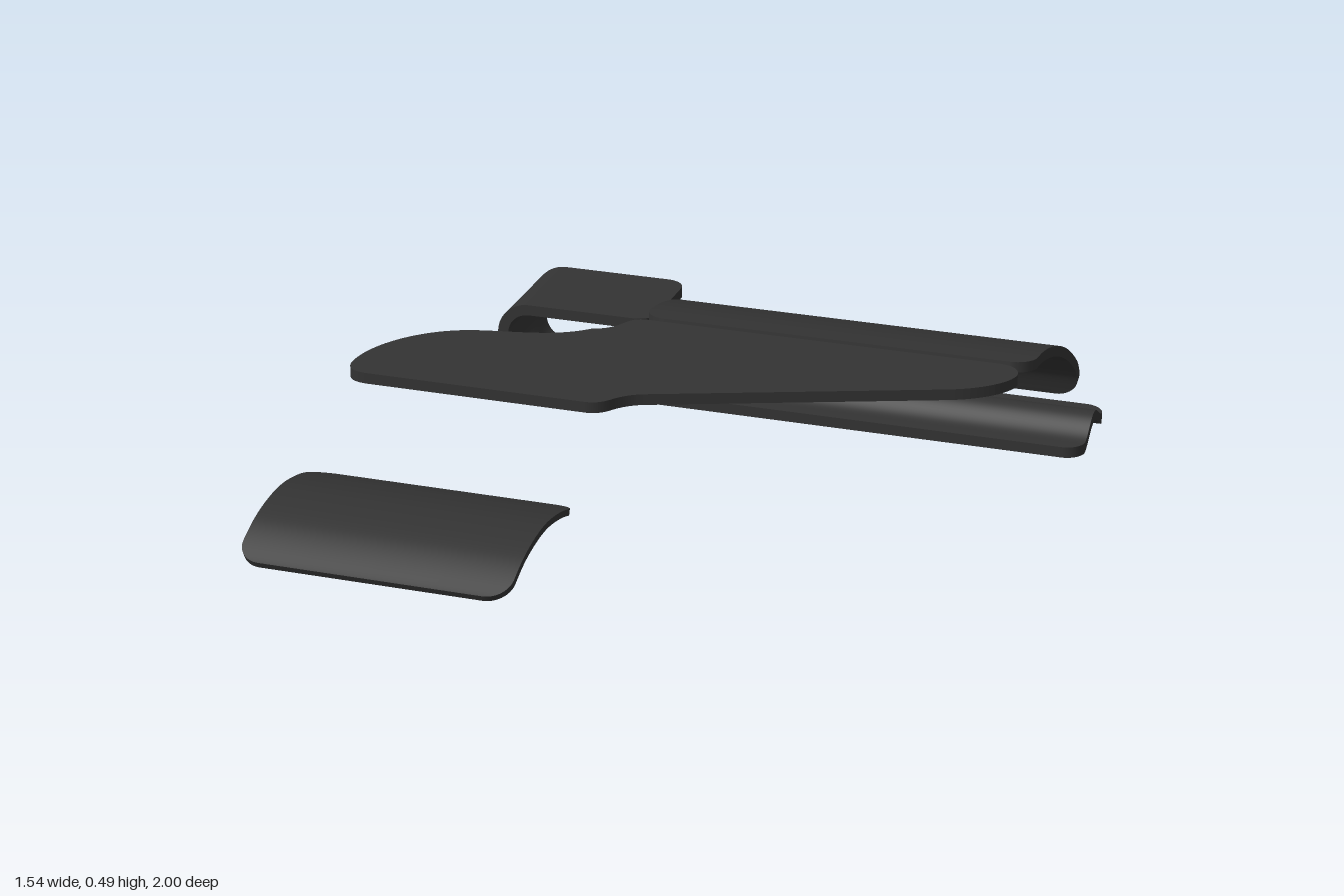
import * as THREE from 'three';

const material = new THREE.MeshStandardMaterial({ color: 0x333333 });

// Sheet of constant thickness that follows a 2D path and spans w0..w1 along the axis
// "across", with its four corners rounded. The path lies on the outer face.
function bentSheet({ name, path, toWorld, across, w0, w1, thick, r, rows, cols, emboss }) {
  const outer = [], inner = [];
  const length = path.getLength();
  for (let i = 0; i <= rows; i++) {
    const t = 0.5 - 0.5 * Math.cos(Math.PI * i / rows); // finer rows near the rounded ends
    const p = toWorld(path.getPoint(t));
    const tangent = toWorld(path.getTangent(t));
    const n = across.clone().cross(tangent).normalize();
    const d = Math.min(r, Math.min(t, 1 - t) * length);
    const inset = r - Math.sqrt(r * r - (r - d) ** 2);
    for (let j = 0; j <= cols; j++) {
      const w = THREE.MathUtils.lerp(w0 + inset, w1 - inset, j / cols);
      const v = p.clone().addScaledVector(across, w);
      if (emboss) v.addScaledVector(n, -emboss(w, tangent));
      outer.push(v);
      inner.push(v.clone().addScaledVector(n, -thick));
    }
  }

  const points = [...outer, ...inner], index = [];
  const id = (i, j) => i * (cols + 1) + j;
  const N = outer.length;
  for (let i = 0; i < rows; i++) {
    for (let j = 0; j < cols; j++) {
      const a = id(i, j), b = id(i + 1, j), c = id(i, j + 1), e = id(i + 1, j + 1);
      index.push(a, c, b, c, e, b);
      index.push(a + N, b + N, c + N, c + N, b + N, e + N);
    }
  }

  // rim wall around the border
  const loop = [];
  for (let j = 0; j < cols; j++) loop.push(id(0, j));
  for (let i = 0; i < rows; i++) loop.push(id(i, cols));
  for (let j = cols; j > 0; j--) loop.push(id(rows, j));
  for (let i = rows; i > 0; i--) loop.push(id(i, 0));
  const base = points.length, M = loop.length;
  loop.forEach(k => points.push(outer[k], inner[k]));
  for (let k = 0; k < M; k++) {
    const p = base + 2 * k, q = base + 2 * ((k + 1) % M);
    index.push(p + 1, q + 1, p, q + 1, q, p);
  }

  const geometry = new THREE.BufferGeometry().setFromPoints(points);
  geometry.setIndex(index);
  geometry.computeVertexNormals();
  const mesh = new THREE.Mesh(geometry, material);
  mesh.name = name;
  return mesh;
}

// Panel curved in the z-y plane and straight along x
function curvedPanel(name, profile, w0, w1, thick, r) {
  const pts = profile.map(([z, y]) => new THREE.Vector2(z, y));
  const path = new THREE.Path().moveTo(pts[0].x, pts[0].y).splineThru(pts.slice(1));
  return bentSheet({
    name, path, w0, w1, thick, r, rows: 64, cols: 4,
    toWorld: p => new THREE.Vector3(0, p.y, p.x),
    across: new THREE.Vector3(1, 0, 0),
  });
}

// Hooked strip with a raised rib along its long lower leg
function hookedClip() {
  const R = 0.085, top = 0.23, left = -0.77;
  const path = new THREE.Path()
    .moveTo(0.77, 0)
    .lineTo(left + R, 0)
    .absarc(left + R, R, R, -Math.PI / 2, -Math.PI, true)
    .lineTo(left, top - R)
    .absarc(left + R, top - R, R, Math.PI, Math.PI / 2, true)
    .lineTo(-0.35, top);
  const rib = (z, tangent) => {
    const s = Math.min(1, Math.abs(z + 0.857) / 0.105);
    return 0.045 * Math.cos(s * Math.PI / 2) ** 2 * Math.max(0, -tangent.x);
  };
  return bentSheet({
    name: 'hookedClip', path, w0: -1, w1: -0.717, thick: 0.028, r: 0.05,
    rows: 160, cols: 40, emboss: rib,
    toWorld: p => new THREE.Vector3(p.x, p.y, 0),
    across: new THREE.Vector3(0, 0, 1),
  });
}

// Flat swept plate; the outline is drawn in x and -z
function sweptPlate() {
  const s = new THREE.Shape();
  s.moveTo(-0.16, 0.112);
  s.bezierCurveTo(-0.21, 0.11, -0.19, 0.04, -0.26, 0.02);
  s.bezierCurveTo(-0.33, -0.055, -0.43, -0.05, -0.52, -0.075);
  s.bezierCurveTo(-0.63, -0.105, -0.715, -0.22, -0.715, -0.33);
  s.quadraticCurveTo(-0.715, -0.39, -0.655, -0.39);
  s.lineTo(-0.13, -0.39);
  s.quadraticCurveTo(-0.1, -0.39, -0.08, -0.36);
  s.quadraticCurveTo(-0.055, -0.32, -0.01, -0.305);
  s.lineTo(0.62, -0.07);
  s.bezierCurveTo(0.7, -0.04, 0.75, 0.02, 0.75, 0.06);
  s.quadraticCurveTo(0.745, 0.112, 0.69, 0.112);
  s.closePath();
  const geometry = new THREE.ExtrudeGeometry(s, { depth: 0.026, bevelEnabled: false, curveSegments: 14 });
  geometry.rotateX(-Math.PI / 2).translate(0, 0.466, 0);
  const mesh = new THREE.Mesh(geometry, material);
  mesh.name = 'sweptPlate';
  return mesh;
}

export function createModel() {
  const group = new THREE.Group();
  group.name = 'panelSet';
  group.add(
    curvedPanel('archedPanel',
      [[1, 0.295], [0.89, 0.345], [0.77, 0.363], [0.66, 0.348], [0.563, 0.315]],
      -0.715, -0.09, 0.015, 0.055),
    curvedPanel('drapedPanel',
      [[-0.13, 0.492], [-0.24, 0.48], [-0.37, 0.443], [-0.5, 0.385], [-0.61, 0.315], [-0.655, 0.27], [-0.682, 0.205]],
      -0.172, 0.768, 0.025, 0.055),
    sweptPlate(),
    hookedClip(),
  );
  return group;
}
